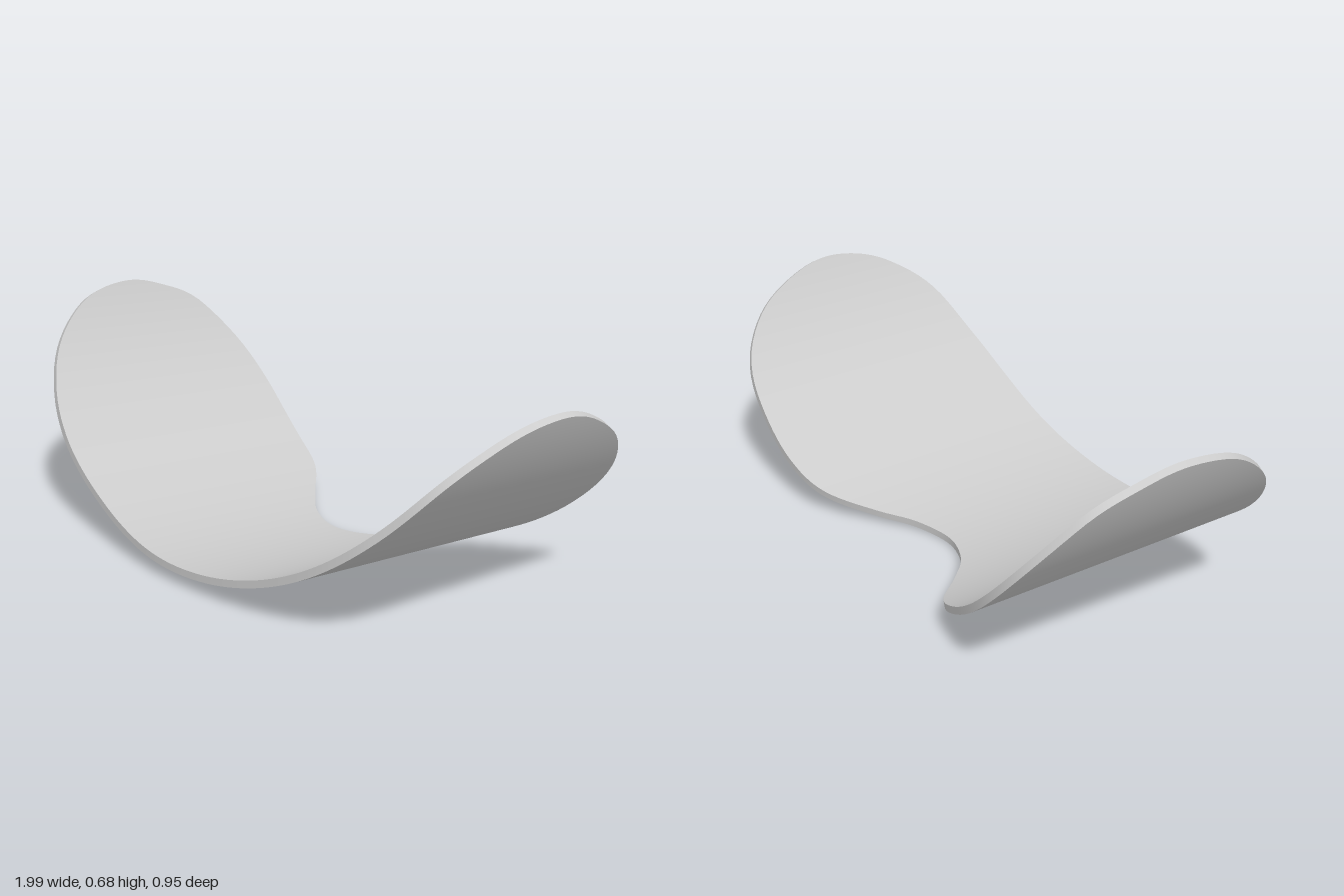
import * as THREE from 'three';

const R = 1.094;        // outer bend radius
const THICK = 0.022;
const AXIS_X = 0.004;   // bend axis position
const TILT = 0.059;     // rise towards the front
const N = 200;          // points around the outline
const ROWS = 24;        // quads from front edge to back edge

// Plan outline [x, z]: left tip, front edge, right tip, back edge with notch
const OUTLINE = [
  [-1, -0.04], [-0.973, 0.147], [-0.9, 0.286], [-0.797, 0.366], [-0.663, 0.414], [-0.395, 0.447],
  [-0.1, 0.47], [0.13, 0.461], [0.353, 0.438], [0.62, 0.4], [0.754, 0.36], [0.888, 0.28],
  [0.963, 0.136], [0.992, -0.04], [0.984, -0.18], [0.936, -0.345], [0.872, -0.425], [0.807, -0.457],
  [0.7, -0.465], [0.54, -0.452], [0.406, -0.41], [0.246, -0.286], [0.14, -0.203], [0, -0.163],
  [-0.14, -0.203], [-0.245, -0.282], [-0.395, -0.405], [-0.53, -0.447], [-0.755, -0.475],
  [-0.866, -0.44], [-0.957, -0.334], [-0.992, -0.18],
];

// Bent sheet: angle around the axis, depth z, radius r
function bend(angle, z, r) {
  return [AXIS_X + r * Math.sin(angle), R - r * Math.cos(angle) + TILT * (z + 0.16), z];
}

// Outline as [angle, z] pairs
function outlineLoop() {
  const curve = new THREE.CatmullRomCurve3(OUTLINE.map(([x, z]) => new THREE.Vector3(x, 0, z)), true);
  curve.arcLengthDivisions = 2000;
  return curve.getSpacedPoints(N).map((p) => [Math.asin((p.x - AXIS_X) / R), p.z]);
}

function makeGeometry(positions, index, normals) {
  const geo = new THREE.BufferGeometry();
  geo.setAttribute('position', new THREE.Float32BufferAttribute(positions, 3));
  geo.setIndex(index);
  if (normals) geo.setAttribute('normal', new THREE.Float32BufferAttribute(normals, 3));
  else geo.computeVertexNormals();
  return geo;
}

// One broad face; side = 1 for the inner (upper) face, -1 for the outer one
function faceGeometry(loop, r, side) {
  const positions = [], normals = [], index = [];
  for (let i = 0; i <= N / 2; i++) {
    const front = loop[i], back = loop[N - i];
    for (let j = 0; j <= ROWS; j++) {
      const a = THREE.MathUtils.lerp(front[0], back[0], j / ROWS);
      const z = THREE.MathUtils.lerp(front[1], back[1], j / ROWS);
      positions.push(...bend(a, z, r));
      const n = new THREE.Vector3(-Math.sin(a), Math.cos(a), -TILT * Math.cos(a));
      normals.push(...n.normalize().multiplyScalar(side).toArray());
      if (i < N / 2 && j < ROWS) {
        const p = i * (ROWS + 1) + j, q = p + ROWS + 1;
        if (side > 0) index.push(p, q, q + 1, p, q + 1, p + 1);
        else index.push(p, q + 1, q, p, p + 1, q + 1);
      }
    }
  }
  return makeGeometry(positions, index, normals);
}

// Narrow edge joining the two faces all the way round
function rimGeometry(loop) {
  const positions = [], index = [];
  for (let k = 0; k < N; k++) {
    const [a, z] = loop[k];
    positions.push(...bend(a, z, R), ...bend(a, z, R - THICK));
    const lo = 2 * k, next = 2 * ((k + 1) % N);
    index.push(lo, next, next + 1, lo, next + 1, lo + 1);
  }
  return makeGeometry(positions, index);
}

export function createModel() {
  const group = new THREE.Group();
  group.name = 'curvedShell';
  const material = new THREE.MeshStandardMaterial({ color: 0xcccccc });
  const loop = outlineLoop();
  const add = (name, geometry) => {
    const mesh = new THREE.Mesh(geometry, material);
    mesh.name = name;
    group.add(mesh);
  };
  add('innerFace', faceGeometry(loop, R - THICK, 1));
  add('outerFace', faceGeometry(loop, R, -1));
  add('rim', rimGeometry(loop));
  return group;
}
